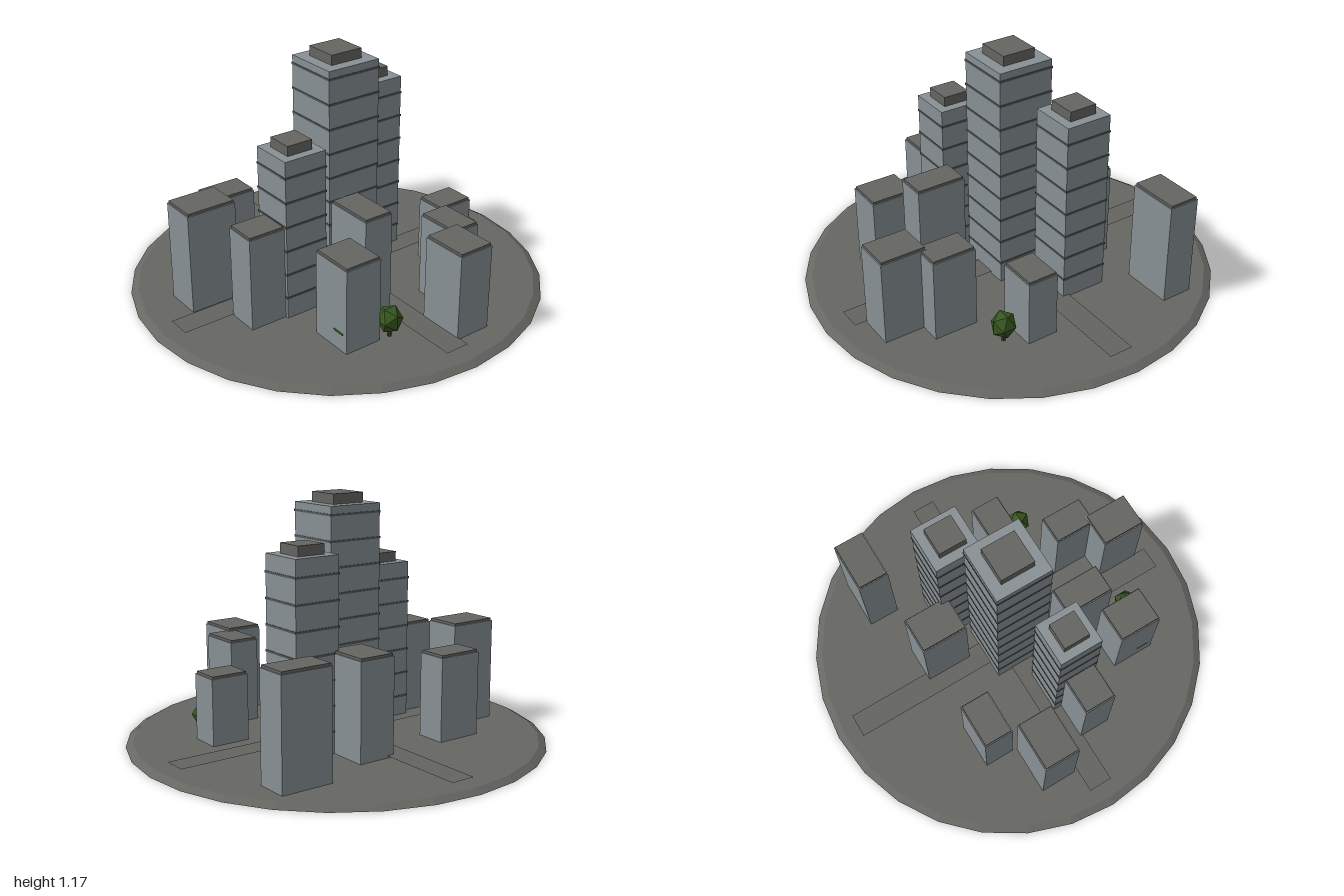
import * as THREE from 'three';

const material = (name, color) => {
  const m = new THREE.MeshStandardMaterial({ color, flatShading: true });
  m.name = name;
  return m;
};

export function createModel() {
  const city = new THREE.Group();
  city.name = 'cityDistrict';

  const ground = material('ground grey', 0x666763);
  const wall = material('wall blue grey', 0x899195);
  const roof = material('roof grey', 0x656662);
  const band = material('ledge grey', 0x55595a);
  const leaf = material('leaf green', 0x38571f);
  const bark = material('bark brown', 0x4a3a2a);
  const road = material('road grey', 0x646561);
  road.side = THREE.DoubleSide;

  const GROUND_Y = 0.02;

  const add = (parent, name, geometry, mat, x, y, z) => {
    const mesh = new THREE.Mesh(geometry, mat);
    mesh.name = name;
    mesh.position.set(x, y, z);
    parent.add(mesh);
    return mesh;
  };

  // Box given by its centre in plan and its lower and upper height
  const block = (parent, name, mat, x, z, w, d, y0, y1) =>
    add(parent, name, new THREE.BoxGeometry(w, y1 - y0, d), mat, x, (y0 + y1) / 2, z);

  const group = (name) => {
    const g = new THREE.Group();
    g.name = name;
    city.add(g);
    return g;
  };

  // Round ground plate with a bevelled rim
  add(city, 'groundPlate', new THREE.CylinderGeometry(0.965, 1, GROUND_Y, 28), ground, 0, GROUND_Y / 2, 0);

  // Two crossing roads
  for (const [name, w, d, y] of [['roadAcross', 1.77, 0.12, 0.03], ['roadAlong', 0.12, 1.77, 0.031]]) {
    const strip = add(city, name, new THREE.PlaneGeometry(w, d), road, -0.003, y, -0.003);
    strip.rotation.x = -Math.PI / 2;
  }

  // Towers with a ledge at every storey and a roof block: x, z, width, top, cap width
  const towers = [
    ['centreTower', -0.003, -0.003, 0.28, 1.125, 0.168],
    ['leftTower', 0.298, -0.148, 0.233, 0.928, 0.14],
    ['rightTower', -0.335, 0.114, 0.218, 0.805, 0.131],
  ];
  for (const [name, x, z, w, top, cap] of towers) {
    const g = group(name);
    block(g, 'towerBody', wall, x, z, w, w, GROUND_Y, top);
    block(g, 'roofBlock', roof, x, z, cap, cap, top, top + 0.048);
    for (let y = 0.125; y < top - 0.03; y += 0.12) {
      block(g, 'storeyLedge', band, x, z, w + 0.006, w + 0.006, y - 0.005, y + 0.005);
    }
  }

  // Low blocks: x from, x to, z from, z to, top
  const lowBlocks = [
    [-0.765, -0.517, -0.263, -0.08, 0.525],
    [-0.512, -0.284, -0.435, -0.285, 0.435],
    [-0.628, -0.42, 0.045, 0.207, 0.485],
    [-0.408, -0.222, 0.393, 0.612, 0.444],
    [-0.192, -0.044, 0.219, 0.467, 0.545],
    [0.02, 0.207, -0.457, -0.22, 0.498],
    [0.44, 0.697, -0.568, -0.41, 0.54],
    [0.407, 0.598, 0.144, 0.297, 0.35],
    [0.188, 0.337, 0.403, 0.622, 0.436],
    [0.052, 0.233, 0.593, 0.82, 0.45],
  ];
  for (const [x0, x1, z0, z1, top] of lowBlocks) {
    const g = group('lowBlock');
    const x = (x0 + x1) / 2, z = (z0 + z1) / 2, w = x1 - x0, d = z1 - z0;
    block(g, 'blockBody', wall, x, z, w, d, GROUND_Y, top - 0.012);
    block(g, 'blockRoof', roof, x, z, w - 0.01, d - 0.01, top - 0.012, top);
  }

  // Trees with faceted crowns
  for (const [x, z] of [[0.51, 0.373], [-0.165, 0.61], [-0.358, 0.555]]) {
    const g = group('tree');
    add(g, 'trunk', new THREE.CylinderGeometry(0.008, 0.01, 0.06, 6), bark, x, 0.05, z);
    add(g, 'crown', new THREE.IcosahedronGeometry(0.062, 0), leaf, x, 0.108, z).scale.y = 1.1;
  }

  return city;
}
